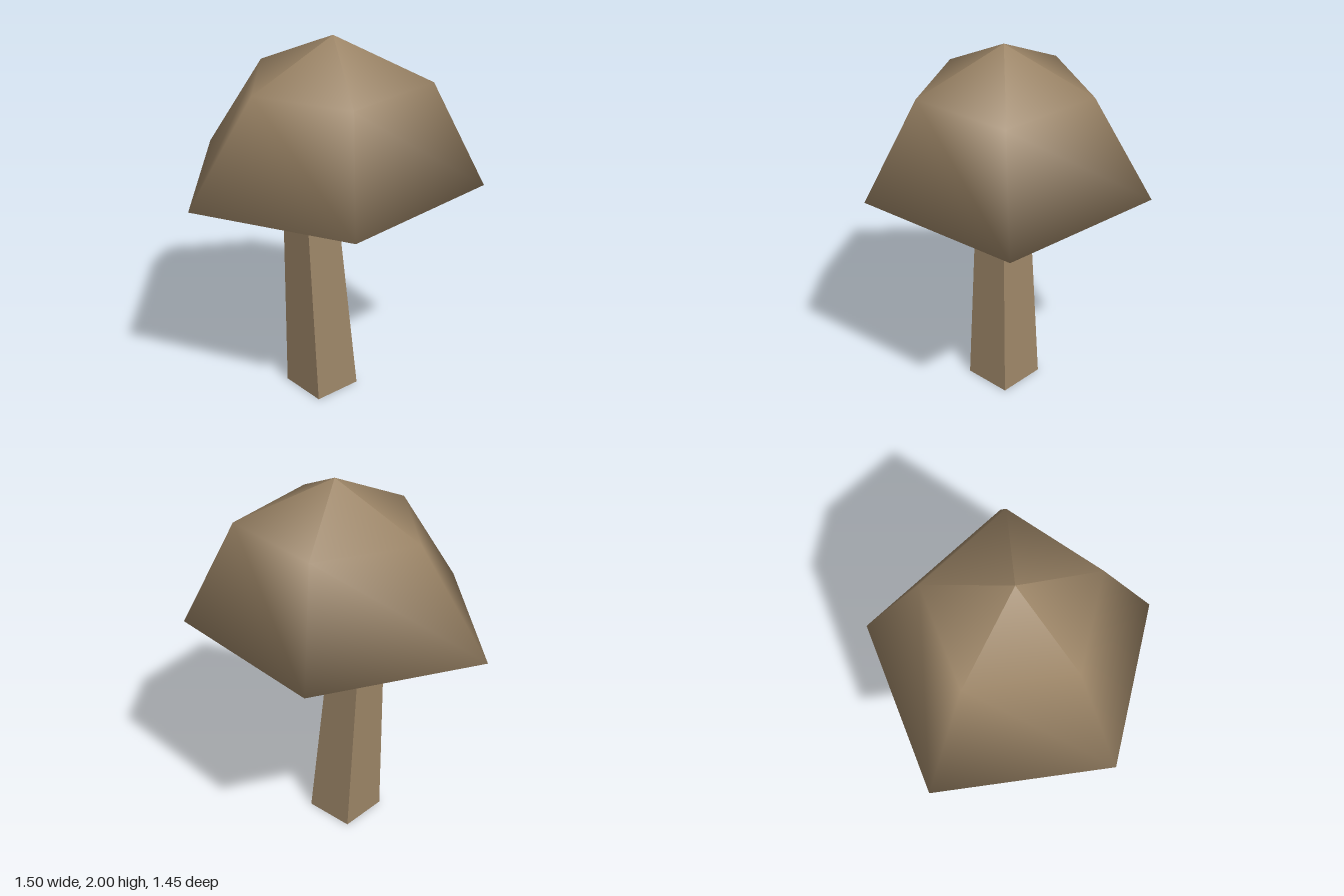
import * as THREE from 'three';

const brown = new THREE.MeshStandardMaterial({ color: 0x9b8466, side: THREE.DoubleSide });
brown.name = 'mushroom brown';

// Five-sided cap: peak, shoulder ring, rim and a hollow underside that is open around the stem
function makeCap() {
  const rim = [[0.745, 0.005], [0.14, 0.72], [-0.7, 0.45], [-0.75, -0.47], [0.15, -0.73]];
  const n = rim.length;
  const ring = (cx, y, cz, scale) =>
    rim.map(([x, z]) => [cx + (x + 0.083) * scale, y, cz + (z + 0.005) * scale]);

  const rings = [
    rim.map(() => [-0.027, 2, 0.012]), // peak, one point per facet
    ring(-0.025, 1.77, 0.008, 0.602), // shoulder
    ring(-0.083, 1.22, -0.005, 1), // rim
    ring(-0.158, 1.335, 0.016, 0.18), // opening around the stem
  ];
  const index = [];
  for (let i = 0; i < n; i++) {
    const j = (i + 1) % n;
    index.push(i, n + j, n + i);
    for (let r = 1; r < rings.length - 1; r++) {
      const a = r * n + i, b = r * n + j;
      index.push(a, b, a + n, b, b + n, a + n);
    }
  }
  const geo = new THREE.BufferGeometry();
  geo.setAttribute('position', new THREE.Float32BufferAttribute(rings.flat(2), 3));
  geo.setIndex(index);
  geo.computeVertexNormals();
  const cap = new THREE.Mesh(geo, brown);
  cap.name = 'cap';
  return cap;
}

// Open four-sided tapered stem that leans as it rises
function makeStem() {
  const height = 1.335;
  const geo = new THREE.CylinderGeometry(0.129, 0.1925, height, 4, 1, true).toNonIndexed();
  geo.translate(0, height / 2, 0);
  const p = geo.attributes.position;
  for (let i = 0; i < p.count; i++) {
    const t = p.getY(i) / height;
    p.setX(i, p.getX(i) - 0.0915 - 0.0685 * t);
    p.setZ(i, p.getZ(i) + 0.012 + 0.004 * t);
  }
  geo.computeVertexNormals();
  const stem = new THREE.Mesh(geo, brown);
  stem.name = 'stem';
  return stem;
}

export function createModel() {
  const group = new THREE.Group();
  group.name = 'mushroom';
  group.add(makeCap(), makeStem());
  return group;
}
